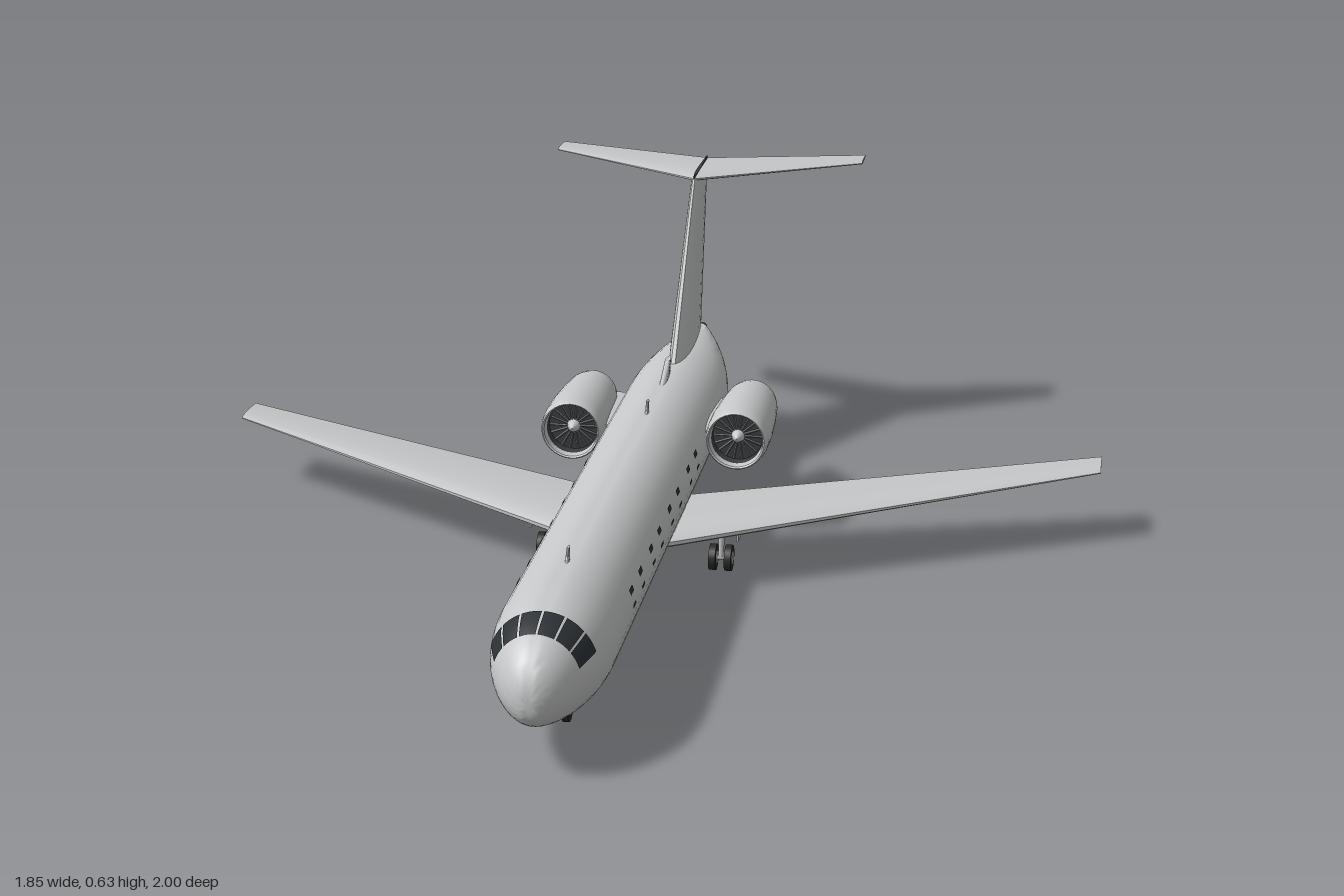
import * as THREE from 'three';
import { toCreasedNormals, mergeVertices } from 'three/addons/utils/BufferGeometryUtils.js';

const mat = (name, color, side = THREE.FrontSide) => {
  const m = new THREE.MeshStandardMaterial({ color, side });
  m.name = name;
  return m;
};

// Skin through a list of closed rings, end caps included, always facing outward
function loft(rings, crease = 0.7) {
  const n = rings[0].length, pos = rings.flat().flatMap(p => p), tri = [];
  for (let i = 0; i < rings.length - 1; i++) {
    for (let j = 0; j < n; j++) {
      const a = i * n + j, b = i * n + (j + 1) % n;
      tri.push([a, b, a + n], [b, b + n, a + n]);
    }
  }
  const last = (rings.length - 1) * n;
  // Caps are stitched straight across, pairing opposite ring points
  for (let j = 0; j < n / 2 - 1; j++) {
    const k = n - 1 - j;
    tri.push([j, k, j + 1], [j + 1, k, k - 1]);
    tri.push([last + j, last + j + 1, last + k], [last + j + 1, last + k - 1, last + k]);
  }
  const v = tri.map(t => t.map(i => new THREE.Vector3(pos[3 * i], pos[3 * i + 1], pos[3 * i + 2])));
  const volume = v.reduce((s, [a, b, c]) => s + a.dot(b.clone().cross(c)), 0);
  const index = tri.flatMap(t => (volume < 0 ? [t[0], t[2], t[1]] : t));
  const g = new THREE.BufferGeometry();
  g.setAttribute('position', new THREE.Float32BufferAttribute(pos, 3));
  g.setIndex(index);
  return toCreasedNormals(mergeVertices(g, 1e-5), crease);
}

// Aerofoil surface; each station is [x, y, leading z, trailing z, thickness]
function foil(stations, upright = false) {
  const half = u => 5 * (0.2969 * Math.sqrt(u) - 0.126 * u - 0.3516 * u ** 2 + 0.2843 * u ** 3 - 0.1015 * u ** 4);
  const N = 10;
  return loft(stations.map(([x, y, zf, zr, t]) => {
    const ring = [];
    for (let k = 0; k < 2 * N; k++) {
      const a = (k + 0.5) / N * Math.PI;
      const u = (1 - Math.cos(a)) / 2;
      const d = half(u) * t * (k < N ? 1 : -1);
      ring.push([x + (upright ? d : 0), y + (upright ? 0 : d), zf + (zr - zf) * u]);
    }
    return ring;
  }), 0.9);
}

// Fuselage cross-section at z: centre height and the two radii
function section(z) {
  if (z > 0.75) {
    const t = (z - 0.75) / 0.25, s = Math.sqrt(Math.max(0, 1 - t * t));
    return { cy: 0.168 - 0.018 * t ** 6, rx: 0.11 * s, ry: 0.112 * s ** 0.8 };
  }
  const t = Math.max(0, (-0.45 - z) / 0.4);
  const top = 0.28 - 0.035 * t ** 1.5, bottom = 0.056 + 0.17 * t ** 1.7;
  return { cy: (top + bottom) / 2, rx: 0.11 * (1 - 0.9 * t ** 2.2), ry: (top - bottom) / 2 };
}
function skin(z, a, lift = 0) {
  const { cy, rx, ry } = section(z);
  return [Math.cos(a) * (rx + lift), cy + Math.sin(a) * (ry + lift), z];
}

// Thin pane that follows the fuselage skin
function pane(z0, z1, a0, a1) {
  const g = new THREE.PlaneGeometry(1, 1, 5, 5), p = g.attributes.position;
  for (let i = 0; i < p.count; i++) {
    const z = z0 + (z1 - z0) * (p.getX(i) + 0.5), a = a0 + (a1 - a0) * (p.getY(i) + 0.5);
    p.setXYZ(i, ...skin(z, a, 0.002));
  }
  g.computeVertexNormals();
  return g;
}

// Turned part along z from [radius, z] points running rear to front
function turned(points, segments = 32) {
  const g = new THREE.LatheGeometry(points.map(p => new THREE.Vector2(...p)), segments);
  return toCreasedNormals(g.rotateX(Math.PI / 2), 0.6);
}

export function createModel() {
  const grey = mat('light grey paint', 0xc6c7c8);
  const dark = mat('dark metal', 0x3a3d40);
  const glass = mat('dark glass', 0x2c3135, THREE.DoubleSide);
  const blade = mat('fan grey', 0x66696c);
  const tyre = mat('tyre rubber', 0x2a2a2b);

  const plane = new THREE.Group();
  plane.name = 'airliner';
  const add = (name, g, m, parent = plane) => {
    const mesh = new THREE.Mesh(g, m);
    mesh.name = name;
    parent.add(mesh);
    return mesh;
  };

  // Fuselage
  const zs = [];
  for (let i = 0; i <= 16; i++) zs.push(0.75 + 0.2499 * Math.sin(i / 16 * Math.PI / 2));
  zs.reverse();
  zs.push(0.3, -0.1);
  for (let i = 0; i <= 14; i++) zs.push(-0.45 - 0.4 * i / 14);
  add('fuselage', loft(zs.map(z => Array.from({ length: 40 }, (_, j) => skin(z, (j + 0.5) / 20 * Math.PI))), 0.8), grey);
  add('tailExhaust', turned([[0, -0.857], [0.01, -0.857], [0.012, -0.84]], 16), dark).position.y = 0.236;

  // Cockpit windows
  const deg = Math.PI / 180;
  for (let i = 0; i < 6; i++) {
    const a = 18 + i * 24;
    add('cockpitWindow', pane(0.87, 0.928, (a + 1.3) * deg, (a + 22.7) * deg), glass);
  }

  // Cabin windows: two slim rows on each side
  for (const z of [0.605, 0.515, 0.405, 0.315, 0.2, 0.105, -0.02, -0.11]) {
    for (const y of [0.205, 0.178]) {
      const a = Math.asin((y - 0.168) / 0.112), h = y > 0.2 ? 0.05 : 0.03;
      add('cabinWindowLeft', pane(z - 0.014, z + 0.014, a - h, a + h), glass);
      add('cabinWindowRight', pane(z - 0.014, z + 0.014, Math.PI - a - h, Math.PI - a + h), glass);
    }
  }

  // Fin, its cap, the dorsal intake and the antennas
  add('fin', foil([[0, 0.235, -0.416, -0.826, 0.042], [0, 0.622, -0.711, -0.904, 0.02]], true), grey);
  add('finCap', foil([[0, 0.613, -0.71, -0.905, 0.008], [0, 0.63, -0.716, -0.907, 0.007]], true), dark);
  add('dorsalIntake', foil([[0, 0.27, -0.285, -0.42, 0.014], [0, 0.312, -0.375, -0.416, 0.012]], true), grey);
  for (const [z, y0, y1] of [[0.67, 0.27, 0.303], [-0.13, 0.27, 0.303], [0.265, 0.065, 0.034], [-0.805, 0.21, 0.186]]) {
    add('antenna', foil([[0, y0, z + 0.012, z - 0.022, 0.008], [0, y1, z - 0.01, z - 0.024, 0.006]], true), grey);
  }

  for (const s of [1, -1]) {
    const side = s > 0 ? 'left' : 'right';

    // Wing and tailplane
    add(side + 'Wing', foil([[0.04 * s, 0.108, 0.182, -0.107, 0.038], [0.11 * s, 0.111, 0.145, -0.13, 0.035],
      [0.925 * s, 0.152, -0.29, -0.39, 0.009]]), grey);
    add(side + 'Tailplane', foil([[0, 0.621, -0.715, -0.912, 0.016], [0.35 * s, 0.621, -0.92, -1, 0.007]]), grey);

    // Engine
    const engine = new THREE.Group();
    engine.name = side + 'Engine';
    engine.position.set(0.175 * s, 0.204, 0);
    plane.add(engine);
    add('cowl', turned([[0.03, -0.446], [0.053, -0.445], [0.058, -0.42], [0.063, -0.36], [0.067, -0.28], [0.066, -0.225],
      [0.063, -0.204], [0.06, -0.2], [0.057, -0.203], [0.054, -0.22], [0.054, -0.25]]), grey, engine);
    add('nozzle', turned([[0.022, -0.488], [0.028, -0.49], [0.036, -0.465], [0.037, -0.44]]), grey, engine);
    add('exhaustCone', turned([[0, -0.528], [0.012, -0.51], [0.025, -0.486], [0.025, -0.48]]), dark, engine);
    add('fanDisc', turned([[0.055, -0.24], [0, -0.24]]), dark, engine);
    add('intakeLining', turned([[0.0535, -0.215], [0.0535, -0.245]]), dark, engine);
    add('spinner', turned([[0.015, -0.24], [0.011, -0.226], [0, -0.214]], 20), grey, engine);
    for (let i = 0; i < 18; i++) {
      const g = new THREE.BoxGeometry(0.038, 0.0035, 0.004).rotateX(0.5).translate(0.033, 0, -0.237);
      add('fanBlade', g.rotateZ(i / 18 * Math.PI * 2), blade, engine);
    }
    add(side + 'Pylon', foil([[0.07 * s, 0.2, -0.25, -0.47, 0.022], [0.135 * s, 0.204, -0.25, -0.468, 0.02]]), grey);

    // Main gear door
    add(side + 'GearDoor', new THREE.BoxGeometry(0.004, 0.03, 0.045).translate(0.214 * s, 0.087, 0), grey);
  }

  // Landing gear, each with a strut, an axle and a pair of wheels
  const gear = (name, x, z, r, gap, width, top) => {
    const g = new THREE.Group();
    g.name = name;
    g.position.set(x, r, z);
    plane.add(g);
    const across = (rad, len) => new THREE.CylinderGeometry(rad, rad, len, 24).rotateZ(Math.PI / 2);
    add('strut', new THREE.CylinderGeometry(0.006, 0.006, top - r, 12).translate(0, (top - r) / 2, 0), grey, g);
    add('axle', across(0.005, gap * 2), grey, g);
    for (const s of [1, -1]) {
      add('tyre', across(r, width).translate(gap * s, 0, 0), tyre, g);
      add('hub', across(r * 0.5, width + 0.003).translate(gap * s, 0, 0), grey, g);
    }
  };
  gear('noseGear', 0, 0.74, 0.024, 0.013, 0.012, 0.08);
  gear('leftMainGear', 0.178, 0, 0.027, 0.016, 0.014, 0.11);
  gear('rightMainGear', -0.178, 0, 0.027, 0.016, 0.014, 0.11);

  return plane;
}
